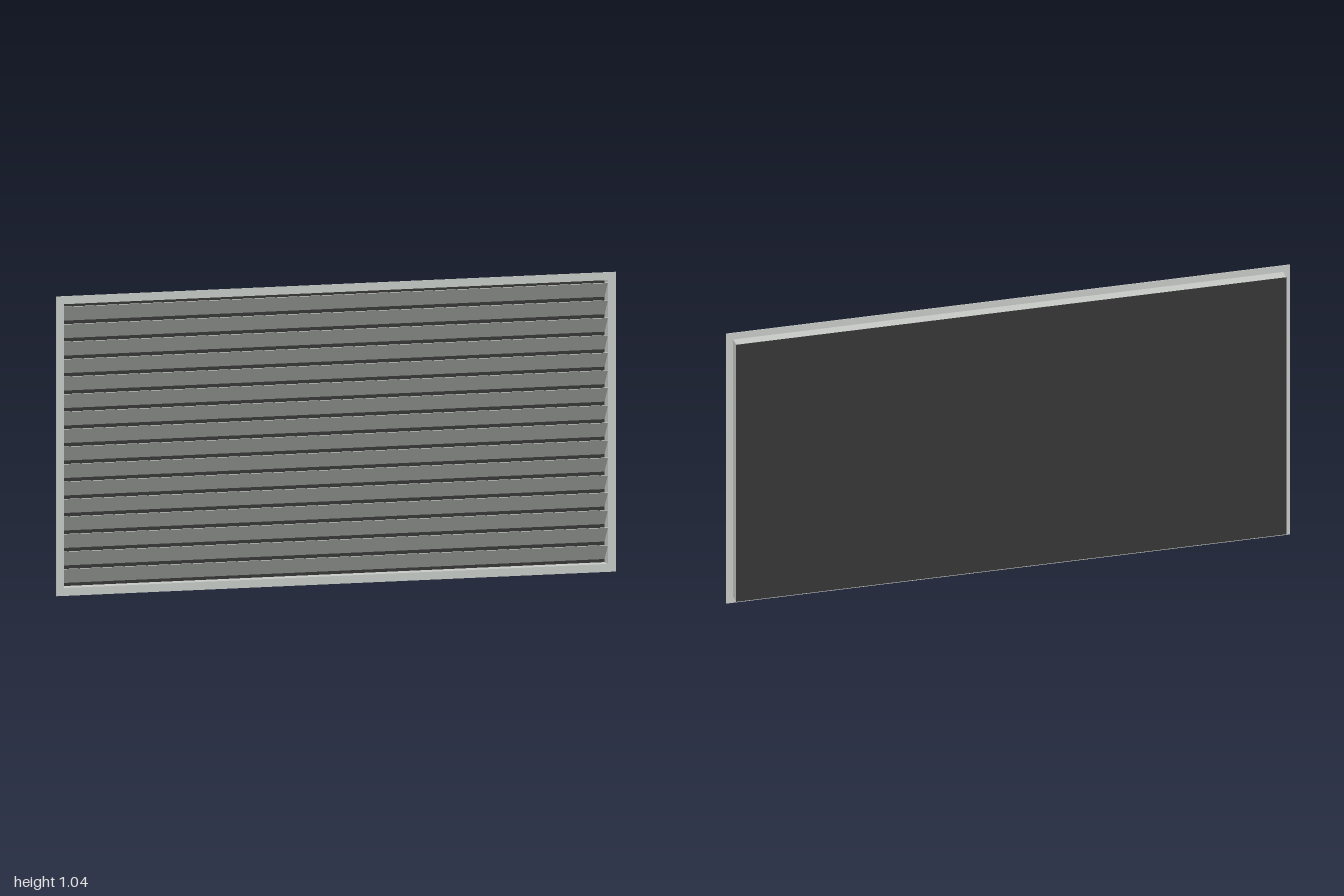
import * as THREE from 'three';

const W = 2, H = 1.037;            // outer flange size
const BW = 1.95, BH = 0.988;       // duct box size
const FRONT = 0.0225, BACK = -0.0225;
const MID = H / 2;

// Rectangular ring extruded along z from z0 to z1
function frame(w, h, iw, ih, z0, z1) {
  const rect = (Type, a, b) => new Type([
    new THREE.Vector2(-a / 2, -b / 2), new THREE.Vector2(a / 2, -b / 2),
    new THREE.Vector2(a / 2, b / 2), new THREE.Vector2(-a / 2, b / 2),
  ]);
  const shape = rect(THREE.Shape, w, h);
  shape.holes.push(rect(THREE.Path, iw, ih));
  const geometry = new THREE.ExtrudeGeometry(shape, { depth: z1 - z0, bevelEnabled: false });
  return geometry.translate(0, MID, z0);
}

export function createModel() {
  const group = new THREE.Group();
  group.name = 'louvreVent';

  const metal = new THREE.MeshStandardMaterial({ color: 0xc6cac6 });
  metal.name = 'pale grey metal';
  const dark = new THREE.MeshStandardMaterial({ color: 0x363636 });
  dark.name = 'dark backing';

  const add = (name, geometry, material, parent = group) => {
    const mesh = new THREE.Mesh(geometry, material);
    mesh.name = name;
    parent.add(mesh);
    return mesh;
  };

  // Thin front flange and the shallow box behind it
  add('flange', frame(W, H, BW - 0.006, BH - 0.006, FRONT - 0.003, FRONT), metal);
  add('ductWalls', frame(BW, BH, BW - 0.006, BH - 0.006, BACK + 0.001, FRONT - 0.003), metal);

  // Dark plate closing the back
  const plate = add('backPlate', new THREE.BoxGeometry(BW, BH, 0.001), dark);
  plate.position.set(0, MID, BACK + 0.0005);

  // Tilted slats, upper edge forward
  const slats = new THREE.Group();
  slats.name = 'slats';
  group.add(slats);
  const count = 16, pitch = 0.0605, rise = 0.053, depth = 0.039;
  const slatGeometry = new THREE.BoxGeometry(BW - 0.006, Math.hypot(rise, depth), 0.002);
  for (let i = 0; i < count; i++) {
    const slat = add('slat' + (i + 1), slatGeometry, metal, slats);
    slat.position.set(0, MID + 0.001 + (i - (count - 1) / 2) * pitch, 0);
    slat.rotation.x = Math.atan2(depth, rise);
  }

  return group;
}
